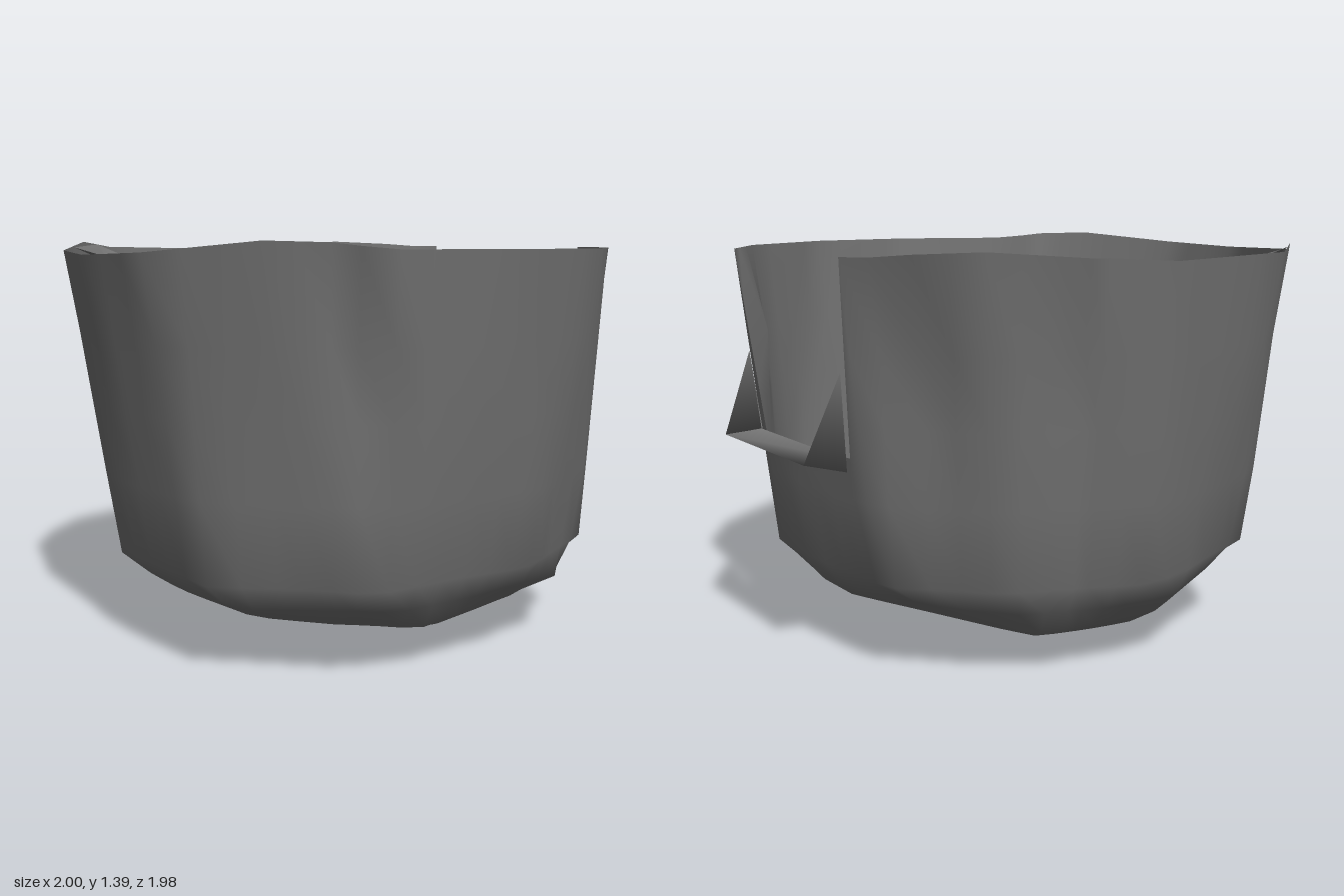
import * as THREE from 'three';
import { ConvexGeometry } from 'three/addons/geometries/ConvexGeometry.js';

const material = new THREE.MeshStandardMaterial({ color: 0x727272, side: THREE.DoubleSide });

// Rim columns around the bowl: x, z, rim height, inward dent of the wall.
const columns = [
  [0.91, 0.32, 0.73, 0], [0.91, 0.37, 1.37, 0], [0.86, 0.44, 1.37, 0.06],
  [0.72, 0.65, 1.37, 0], [0.31, 0.92, 1.37, 0], [-0.12, 0.98, 1.37, 0],
  [-0.52, 0.83, 1.37, 0], [-0.6, 0.75, 1.38, 0.06], [-0.66, 0.69, 1.39, 0.01],
  [-0.8, 0.55, 1.395, 0], [-1, 0.22, 1.36, 0.01], [-0.99, -0.14, 1.35, 0],
  [-0.8, -0.6, 1.36, 0], [-0.62, -0.77, 1.39, 0.01], [-0.42, -0.92, 1.37, 0],
  [0.12, -1, 1.36, 0], [0.31, -0.91, 1.37, 0], [0.36, -0.89, 1.37, 0.03],
  [0.64, -0.76, 1.39, 0], [0.78, -0.58, 1.38, 0.05], [0.86, -0.47, 1.37, 0.03],
  [0.91, -0.39, 1.37, 0], [0.91, -0.32, 0.74, 0],
];

// Corners of the faceted floor: the foot of the wall, then the underside.
const floorCorners = [
  [0.82, 0.28, 0.05], [0.8, 0.31, 0.35], [0.57, 0.31, 0.67], [0.05, 0.36, 0.86],
  [-0.5, 0.33, 0.72], [-0.83, 0.3, 0.31], [-0.83, 0.28, 0.09], [-0.82, 0.3, -0.22],
  [-0.56, 0.33, -0.66], [-0.1, 0.27, -0.82], [0.1, 0.36, -0.87], [0.52, 0.34, -0.67],
  [0.77, 0.33, -0.39],
  [0.38, 0.21, 0.72], [-0.25, 0.14, 0.65], [0.07, 0.05, 0.46], [0.52, 0.08, 0.21],
  [0.72, 0.2, -0.02], [0.3, 0.12, -0.62], [-0.12, 0.095, -0.62], [-0.35, 0.03, -0.25],
  [-0.66, 0.19, 0.33], [0.16, 0, -0.12],
];

function meshFrom(name, positions, indices) {
  const geometry = new THREE.BufferGeometry();
  geometry.setAttribute('position', new THREE.Float32BufferAttribute(positions, 3));
  geometry.setIndex(indices);
  geometry.computeVertexNormals();
  const mesh = new THREE.Mesh(geometry, material);
  mesh.name = name;
  return mesh;
}

// Columns with extra ones between, so that the skin follows the facets.
function denseColumns() {
  const result = [];
  columns.forEach((from, i) => {
    const to = columns[(i + 1) % columns.length];
    const steps = Math.ceil(Math.hypot(to[0] - from[0], to[1] - from[1]) / 0.14);
    for (let k = 0; k < steps; k++) {
      result.push(from.map((v, j) => THREE.MathUtils.lerp(v, to[j], k / steps)));
    }
  });
  return result;
}

// Wall and faceted floor as one skin: rays from inside find the convex body.
function bowl() {
  const rim = columns.map(([x, z]) => new THREE.Vector3(x, 1.37, z));
  const floor = floorCorners.map((p) => new THREE.Vector3(...p));
  const body = new THREE.Mesh(new ConvexGeometry([...rim, ...floor]), material);
  const ray = new THREE.Raycaster();
  const hit = (y, direction) => {
    ray.set(new THREE.Vector3(0, y, 0), direction.normalize());
    return ray.intersectObject(body)[0].point;
  };

  const wallDents = [0, 1, 0.6, 0.2];
  const floorSlopes = [0.2, 0.34, 0.5, 0.7, 1, 1.6, 3];
  const rows = wallDents.length + floorSlopes.length;
  const positions = [], indices = [], dense = denseColumns(), n = dense.length;
  for (const [x, z, top, dent] of dense) {
    const length = Math.hypot(x, z), c = x / length, s = z / length;
    const heights = [top, Math.min(1.08, top - 0.04), Math.min(0.85, top - 0.08), Math.min(0.6, top - 0.12)];
    heights.forEach((y, j) => {
      const p = hit(Math.min(y, 1.365), new THREE.Vector3(c, 0, s));
      positions.push(p.x - c * dent * wallDents[j], y, p.z - s * dent * wallDents[j]);
    });
    for (const slope of floorSlopes) {
      positions.push(...hit(0.5, new THREE.Vector3(c, -slope, s)).toArray());
    }
  }
  const centre = positions.length / 3;
  positions.push(...hit(0.5, new THREE.Vector3(0.001, -1, 0.001)).toArray());
  for (let i = 0; i < n; i++) {
    const a = i * rows, b = ((i + 1) % n) * rows;
    for (let j = 0; j < rows - 1; j++) {
      indices.push(a + j, b + j, a + j + 1, b + j, b + j + 1, a + j + 1);
    }
    indices.push(a + rows - 1, b + rows - 1, centre);
  }
  return meshFrom('bowl', positions, indices);
}

// Folded lip along the bottom of the side notch, with a sliver up each side.
function notchLip() {
  const positions = [];
  for (const side of [1, -1]) {
    positions.push(
      0.855, 0.7, side * 0.305,
      1, 0.74, side * 0.3,
      0.865, 0.745, side * 0.305,
      0.885, 1.02, side * 0.335,
    );
  }
  return meshFrom('notchLip', positions, [
    0, 4, 5, 0, 5, 1, 1, 5, 6, 1, 6, 2,
    0, 1, 3, 1, 2, 3, 4, 7, 5, 5, 7, 6,
  ]);
}

// Small flap bent inward at the rim, with a notched lower edge.
function rimTab() {
  return meshFrom('rimTab', [
    -0.71, 1.37, -0.68, -0.52, 1.38, -0.84,
    -0.45, 1.34, -0.78, -0.53, 1.28, -0.71, -0.55, 1.31, -0.7, -0.63, 1.34, -0.62,
  ], [0, 4, 1, 1, 4, 3, 1, 3, 2, 0, 5, 4]);
}

export function createModel() {
  const group = new THREE.Group();
  group.name = 'brokenBowl';
  group.add(bowl(), notchLip(), rimTab());
  return group;
}
